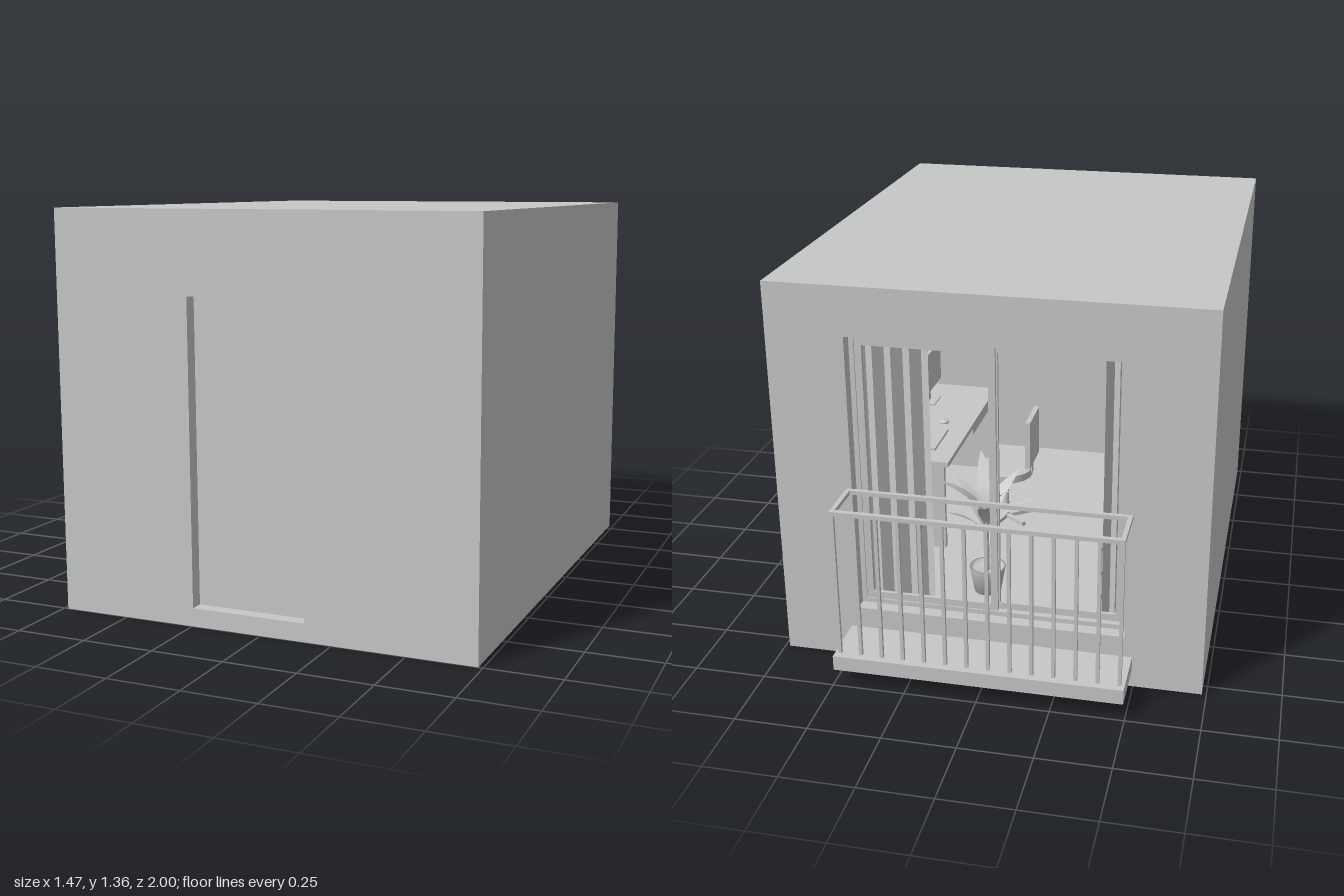
import * as THREE from 'three';

export function createModel() {
  const root = new THREE.Group();
  const clay = new THREE.MeshStandardMaterial({ color: 0xc6c8c7, side: THREE.DoubleSide });
  clay.name = 'clay grey';

  const add = (name, geo, x = 0, y = 0, z = 0, parent = root) => {
    const m = new THREE.Mesh(geo, clay);
    m.name = name;
    m.position.set(x, y, z);
    parent.add(m);
    return m;
  };
  // box given by its limits on each axis
  const box = (name, x0, x1, y0, y1, z0, z1, parent = root) =>
    add(name, new THREE.BoxGeometry(x1 - x0, y1 - y0, z1 - z0),
      (x0 + x1) / 2, (y0 + y1) / 2, (z0 + z1) / 2, parent);
  const group = (name) => {
    const g = new THREE.Group();
    g.name = name;
    root.add(g);
    return g;
  };
  // rectangle with a rectangular hole, extruded along z
  const rect = (C, x0, x1, y0, y1) => new C([[x0, y0], [x1, y0], [x1, y1], [x0, y1]]
    .map(([x, y]) => new THREE.Vector2(x, y)));
  const holed = (name, outer, hole, z0, z1, parent = root) => {
    const s = rect(THREE.Shape, ...outer);
    s.holes.push(rect(THREE.Path, ...hole));
    return add(name, new THREE.ExtrudeGeometry(s, { depth: z1 - z0, bevelEnabled: false }), 0, 0, z0, parent);
  };

  // room shell
  const W = 0.735, H = 1.36, T = 0.065;
  const door = [-0.245, 0.157, 0.062, 1.085], win = [-0.467, 0.467, 0.19, 1.19];
  holed('floorCeilingAndSideWalls', [-W, W, 0, H], [-W + T, W - T, 0.062, H - T], -0.8 + T, 1 - T);
  holed('frontWall', [-W, W, 0, H], door, 1 - T, 1);
  holed('backWall', [-W, W, 0, H], win, -0.8, -0.8 + T);
  box('door', door[0], door[1], door[2], door[3], 0.935, 0.955);

  // sliding window: outer frame and two open sashes
  const window_ = group('window');
  holed('windowFrame', win, [-0.45, 0.45, 0.207, 1.172], -0.755, -0.715, window_);
  holed('leftSash', [-0.02, 0.45, 0.207, 1.172], [0.004, 0.426, 0.232, 1.147], -0.75, -0.737, window_);
  holed('rightSash', [-0.45, 0.0, 0.207, 1.172], [-0.426, -0.024, 0.232, 1.147], -0.733, -0.72, window_);

  // pleated curtains on a rod
  const curtains = group('curtains');
  for (const s of [1, -1]) {
    const inner = s > 0 ? 0.227 : 0.367, n = s > 0 ? 10 : 8;
    const geo = new THREE.PlaneGeometry(0.55 - inner, 1.09, n, 1);
    const p = geo.attributes.position;
    for (let i = 0; i < p.count; i++) p.setZ(i, (i % (n + 1)) % 2 ? 0.015 : -0.015);
    add('curtain', geo.toNonIndexed(), s * (0.55 + inner) / 2, 0.62, -0.65, curtains)
      .geometry.computeVertexNormals();
  }
  const rod = add('curtainRod', new THREE.CylinderGeometry(0.008, 0.008, 1.16, 10), 0, 1.17, -0.65, curtains);
  rod.rotation.z = Math.PI / 2;

  // balcony slab and railing
  const balcony = group('balcony');
  box('slab', -0.495, 0.495, 0.062, 0.115, -1, -0.8, balcony);
  for (const s of [1, -1]) {
    const x0 = s > 0 ? 0.47 : -0.485;
    box('sideRail', x0, x0 + 0.015, 0.635, 0.65, -0.96, -0.8, balcony);
  }
  box('outerRail', -0.485, 0.485, 0.635, 0.65, -0.977, -0.96, balcony);
  box('wallRail', -0.47, 0.47, 0.635, 0.65, -0.815, -0.8, balcony);
  for (let i = 0; i < 14; i++) {
    const x = -0.478 + i * 0.956 / 13;
    box('baluster', x - 0.006, x + 0.006, 0.115, 0.635, -0.975, -0.963, balcony);
  }

  // desk along the left wall with two screens, keyboard and mouse
  const desk = group('desk');
  box('deskTop', 0.33, 0.67, 0.42, 0.44, -0.1, 0.7, desk);
  for (const z of [-0.09, 0.67]) box('deskSide', 0.35, 0.66, 0.062, 0.42, z, z + 0.02, desk);
  box('drawer', 0.36, 0.66, 0.34, 0.42, 0.4, 0.67, desk);
  for (const z of [0.19, 0.5]) {
    box('screen', 0.56, 0.575, 0.5, 0.67, z - 0.13, z + 0.13, desk);
    box('screenStem', 0.575, 0.585, 0.44, 0.58, z - 0.015, z + 0.015, desk);
    box('screenFoot', 0.54, 0.62, 0.44, 0.446, z - 0.05, z + 0.05, desk);
  }
  box('keyboard', 0.41, 0.49, 0.44, 0.45, 0, 0.2, desk);
  const mouse = add('mouse', new THREE.SphereGeometry(0.02, 12, 8), 0.45, 0.445, 0.28, desk);
  mouse.scale.y = 0.5;

  // swivel chair
  const chair = group('chair');
  chair.position.set(0.17, 0.062, 0.2);
  add('seat', new THREE.CylinderGeometry(0.11, 0.11, 0.03, 20), 0, 0.23, 0, chair);
  add('stem', new THREE.CylinderGeometry(0.012, 0.012, 0.2, 10), 0, 0.12, 0, chair);
  box('backrest', -0.12, -0.1, 0.28, 0.48, -0.09, 0.09, chair);
  box('backrestBar', -0.112, -0.1, 0.23, 0.3, -0.015, 0.015, chair);
  for (let i = 0; i < 5; i++) {
    const leg = add('chairLeg', new THREE.BoxGeometry(0.11, 0.015, 0.018).translate(0.055, 0, 0), 0, 0.02, 0, chair);
    leg.rotation.y = i * Math.PI * 0.4;
  }

  // potted plant
  const plant = group('plant');
  plant.position.set(0.11, 0.062, -0.37);
  add('pot', new THREE.LatheGeometry([[0, 0], [0.05, 0], [0.068, 0.1], [0.06, 0.1], [0.056, 0.085], [0, 0.085]]
    .map(([r, y]) => new THREE.Vector2(r, y)), 20), 0, 0, 0, plant);
  add('stem', new THREE.CylinderGeometry(0.006, 0.008, 0.28, 8), 0, 0.21, 0, plant);
  for (let i = 0; i < 9; i++) {
    const leafGeo = new THREE.PlaneGeometry(0.06, 0.2, 2, 5).translate(0, 0.1, 0);
    const p = leafGeo.attributes.position;
    for (let k = 0; k < p.count; k++) {
      const t = p.getY(k) / 0.2;
      p.setX(k, p.getX(k) * Math.sin(Math.PI * (0.08 + 0.9 * t)));
      p.setZ(k, 0.12 * t * t);
    }
    leafGeo.computeVertexNormals();
    const leaf = add('leaf', leafGeo, 0, 0.2 + i * 0.017, 0, plant);
    leaf.rotation.set(0.3, i * 2.4, 0, 'YXZ');
  }

  return root;
}
